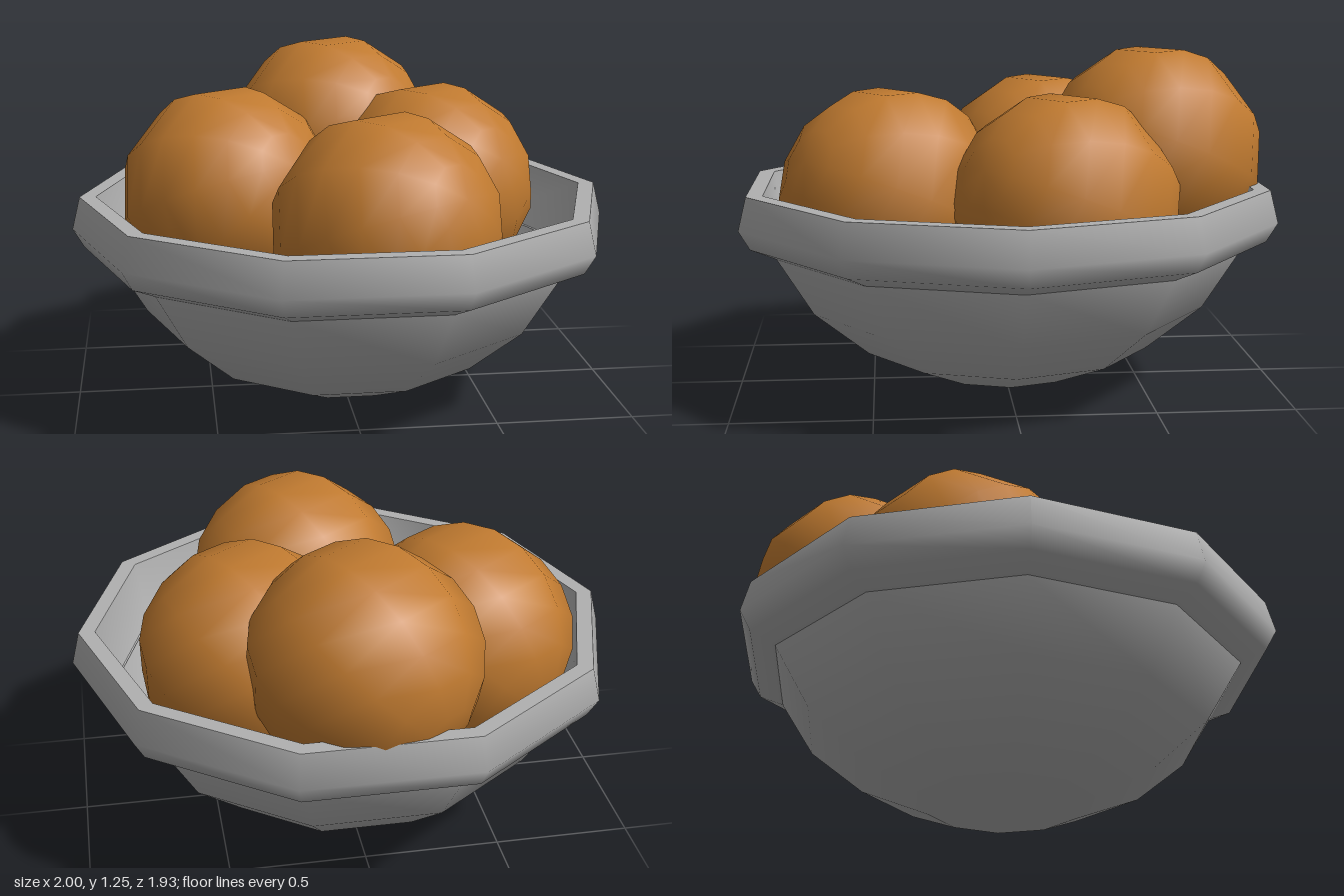
import * as THREE from 'three';

export function createModel() {
  const group = new THREE.Group();
  group.name = 'fruitBowl';
  const grey = new THREE.MeshStandardMaterial({ color: 0xb0b0b0, side: THREE.DoubleSide });
  grey.name = 'bowlGrey';
  const orange = new THREE.MeshStandardMaterial({ color: 0xc07a30 });
  orange.name = 'fruitOrange';

  // ten-sided turned part with corners on the x axis
  const turned = (name, profile) => {
    const points = profile.map(([r, y]) => new THREE.Vector2(r, y));
    const mesh = new THREE.Mesh(new THREE.LatheGeometry(points, 10, Math.PI / 2), grey);
    mesh.scale.z = 1.015;
    mesh.name = name;
    group.add(mesh);
  };

  // bowl: lower half of a slightly flattened sphere
  const shell = [];
  for (let i = 0; i <= 5; i++) {
    const a = (i * Math.PI) / 10;
    shell.push([0.91 * Math.sin(a), 0.76 * (1 - Math.cos(a))]);
  }
  turned('bowl', shell);

  // thick rounded rim with a flat top
  turned('rim', [[0.86, 0.525], [0.96, 0.57], [1, 0.64], [0.97, 0.76]]);
  turned('rimTop', [[0.97, 0.76], [0.91, 0.76]]);

  // fruit: ten-sided spheres, all tilted the same way
  const fruit = new THREE.SphereGeometry(0.41, 10, 10);
  fruit.rotateX(THREE.MathUtils.degToRad(66));
  fruit.rotateY(THREE.MathUtils.degToRad(36));
  const spots = {
    frontFruit: [0.105, 0.72, 0.425],
    rightFruit: [-0.415, 0.72, -0.175],
    leftFruit: [0.36, 0.72, -0.185],
    backFruit: [0.02, 0.86, -0.55],
  };
  for (const [name, position] of Object.entries(spots)) {
    const mesh = new THREE.Mesh(fruit, orange);
    mesh.position.set(...position);
    mesh.name = name;
    group.add(mesh);
  }
  return group;
}
